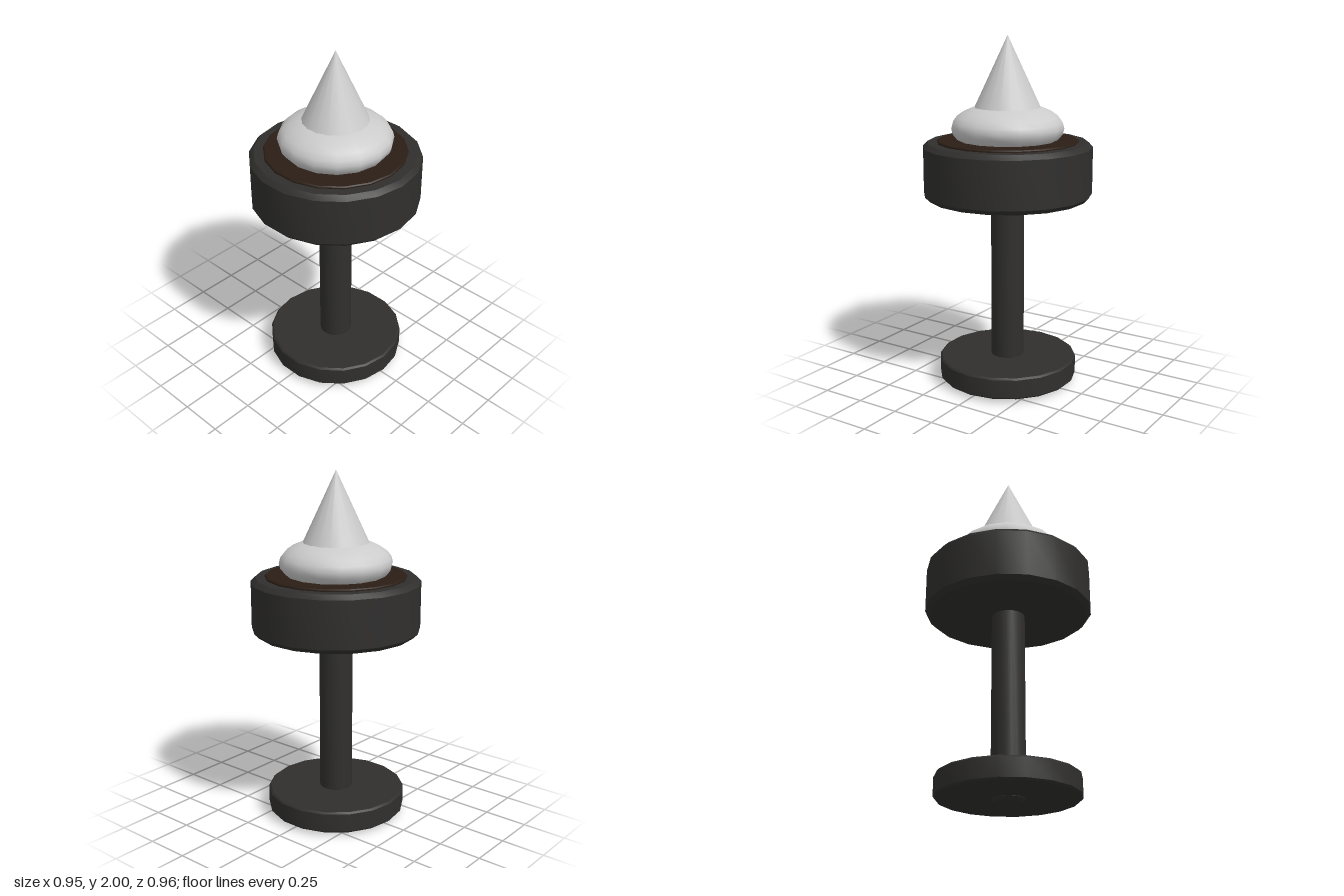
import * as THREE from 'three';
import { toCreasedNormals } from 'three/addons/utils/BufferGeometryUtils.js';

const SIDES = 18;
const dark = new THREE.MeshStandardMaterial({ color: 0x302f2e });
const brown = new THREE.MeshStandardMaterial({ color: 0x2a1e16 });
const grey = new THREE.MeshStandardMaterial({ color: 0xcccccc });

// Solid disc or rod with chamfered rims, from y0 to y1
function chamferedDisc(radius, y0, y1, bevel) {
  const profile = [
    [0, y0], [radius - bevel, y0], [radius, y0 + bevel],
    [radius, y1 - bevel], [radius - bevel, y1], [0, y1],
  ].map(([x, y]) => new THREE.Vector2(x, y));
  return toCreasedNormals(new THREE.LatheGeometry(profile, SIDES), 0.6);
}

export function createModel() {
  const model = new THREE.Group();
  const add = (name, geometry, material) => {
    const mesh = new THREE.Mesh(geometry, material);
    mesh.name = name;
    model.add(mesh);
    return mesh;
  };

  // Foot, stem and drum
  add('foot', chamferedDisc(0.4, 0.02, 0.145, 0.01), dark);
  add('stem', chamferedDisc(0.095, 0, 1.15, 0.018), dark);
  add('drum', chamferedDisc(0.48, 1.09, 1.41, 0.026), dark);

  // Thin plate set into the top of the drum
  add('topPlate', chamferedDisc(0.4, 1.36, 1.423, 0.006), brown);

  // Squashed ball carrying the spike
  const ball = new THREE.SphereGeometry(0.32, 16, 14);
  ball.scale(1, 0.44, 1);
  add('cushion', ball, grey).position.y = 1.49;

  // Pointed spike
  const spike = new THREE.ConeGeometry(0.187, 0.4, SIDES);
  add('spike', spike, grey).position.y = 1.8;

  return model;
}
